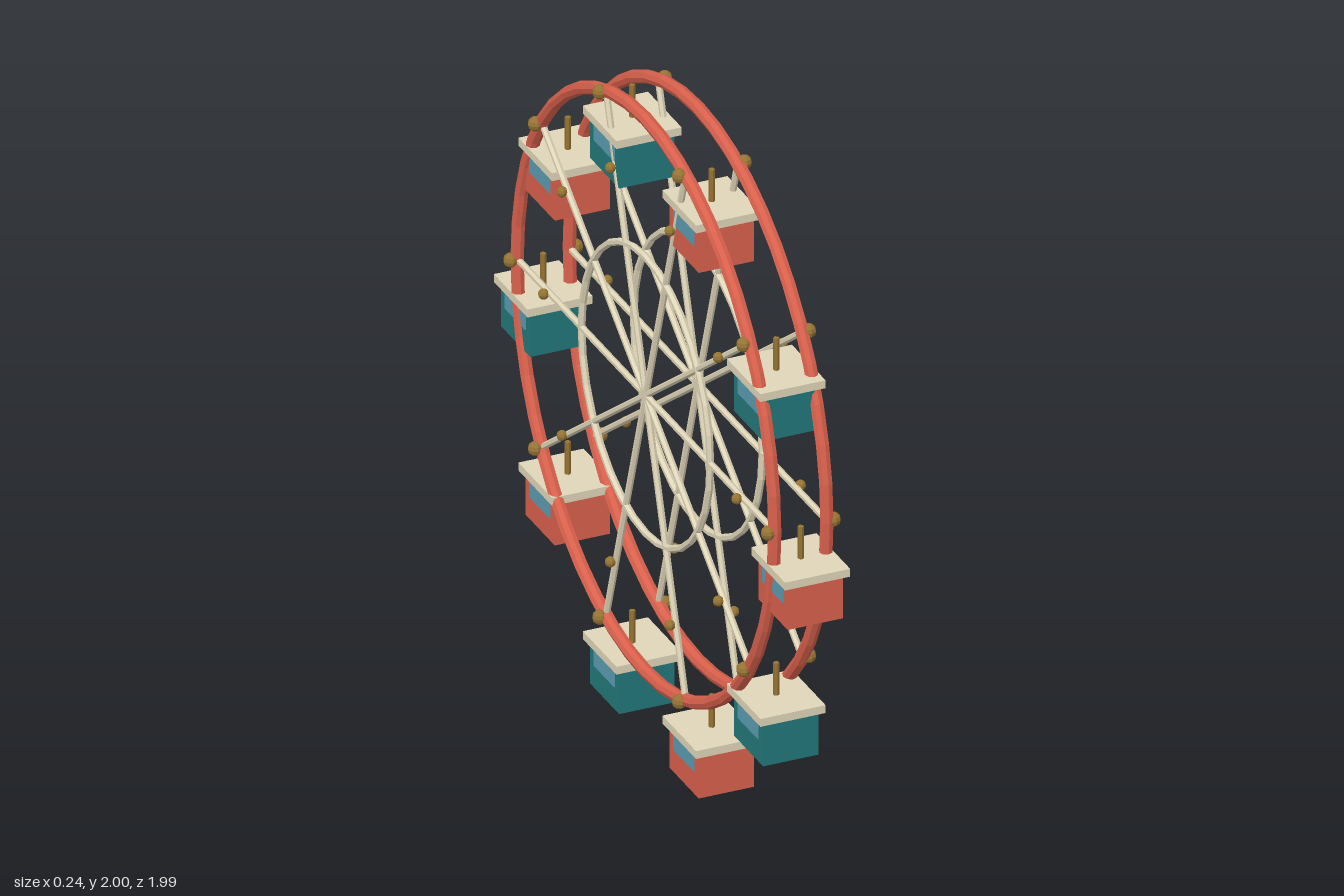
import * as THREE from 'three';

const R = 0.88, CENTRE_Y = 1.1, SIDE_X = 0.08, COUNT = 10;

const mat = (color) => new THREE.MeshStandardMaterial({ color, flatShading: true });
const red = mat(0xd9604c), teal = mat(0x23777a), cream = mat(0xdfd5b8);
const brass = mat(0x967433), glass = mat(0x5a9bb0);

function add(parent, name, geometry, material, x = 0, y = 0, z = 0) {
  const mesh = new THREE.Mesh(geometry, material);
  mesh.name = name;
  mesh.position.set(x, y, z);
  parent.add(mesh);
  return mesh;
}

// Torus lying in the YZ plane
const ringGeometry = (radius, tube, sides, segments) =>
  new THREE.TorusGeometry(radius, tube, sides, segments).rotateY(Math.PI / 2);

// One side of the wheel: rims, spokes and bolts
function createWheelSide(side) {
  const wheel = new THREE.Group();
  wheel.name = side > 0 ? 'leftWheel' : 'rightWheel';
  wheel.position.set(side * SIDE_X, CENTRE_Y, 0);
  add(wheel, 'outerRim', ringGeometry(R, 0.02, 8, 48), red);
  add(wheel, 'innerRim', ringGeometry(R / 2, 0.011, 6, 32), cream);

  const spokeGeometry = new THREE.CylinderGeometry(0.01, 0.01, R, 6).translate(0, R / 2, 0);
  const rimBolt = new THREE.SphereGeometry(0.022, 8, 6);
  const spokeBolt = new THREE.SphereGeometry(0.016, 8, 6);
  for (let i = 0; i < COUNT; i++) {
    const a = (i / COUNT) * Math.PI * 2;
    const y = Math.sin(a), z = Math.cos(a);
    add(wheel, 'spoke', spokeGeometry, cream).rotation.x = Math.PI / 2 - a;
    add(wheel, 'rimBolt', rimBolt, brass, side * 0.02, y * R, z * R);
    add(wheel, 'spokeBolt', spokeBolt, brass, side * 0.018, y * R * 0.75, z * R * 0.75);
  }
  return wheel;
}

// Hanging cabin, with its origin at the pivot
function createCabin(bodyMaterial) {
  const cabin = new THREE.Group();
  cabin.name = 'cabin';
  add(cabin, 'hanger', new THREE.CylinderGeometry(0.009, 0.009, 0.12, 6), brass, 0, -0.06, 0);
  add(cabin, 'roof', new THREE.BoxGeometry(0.2, 0.025, 0.23), cream, 0, -0.114, 0);
  add(cabin, 'body', new THREE.BoxGeometry(0.17, 0.137, 0.2), bodyMaterial, 0, -0.1945, 0);
  for (const s of [-1, 1]) {
    add(cabin, 'window', new THREE.BoxGeometry(0.006, 0.052, 0.14), glass, s * 0.084, -0.166, 0);
  }
  return cabin;
}

export function createModel() {
  const model = new THREE.Group();
  model.name = 'ferrisWheel';
  for (const side of [-1, 1]) model.add(createWheelSide(side));

  // Cabins alternate in colour and always hang upright
  for (let i = 0; i < COUNT; i++) {
    const a = (i / COUNT) * Math.PI * 2;
    const cabin = createCabin(i % 2 ? teal : red);
    cabin.position.set(0, CENTRE_Y + R * Math.sin(a), R * Math.cos(a));
    model.add(cabin);
  }
  return model;
}
